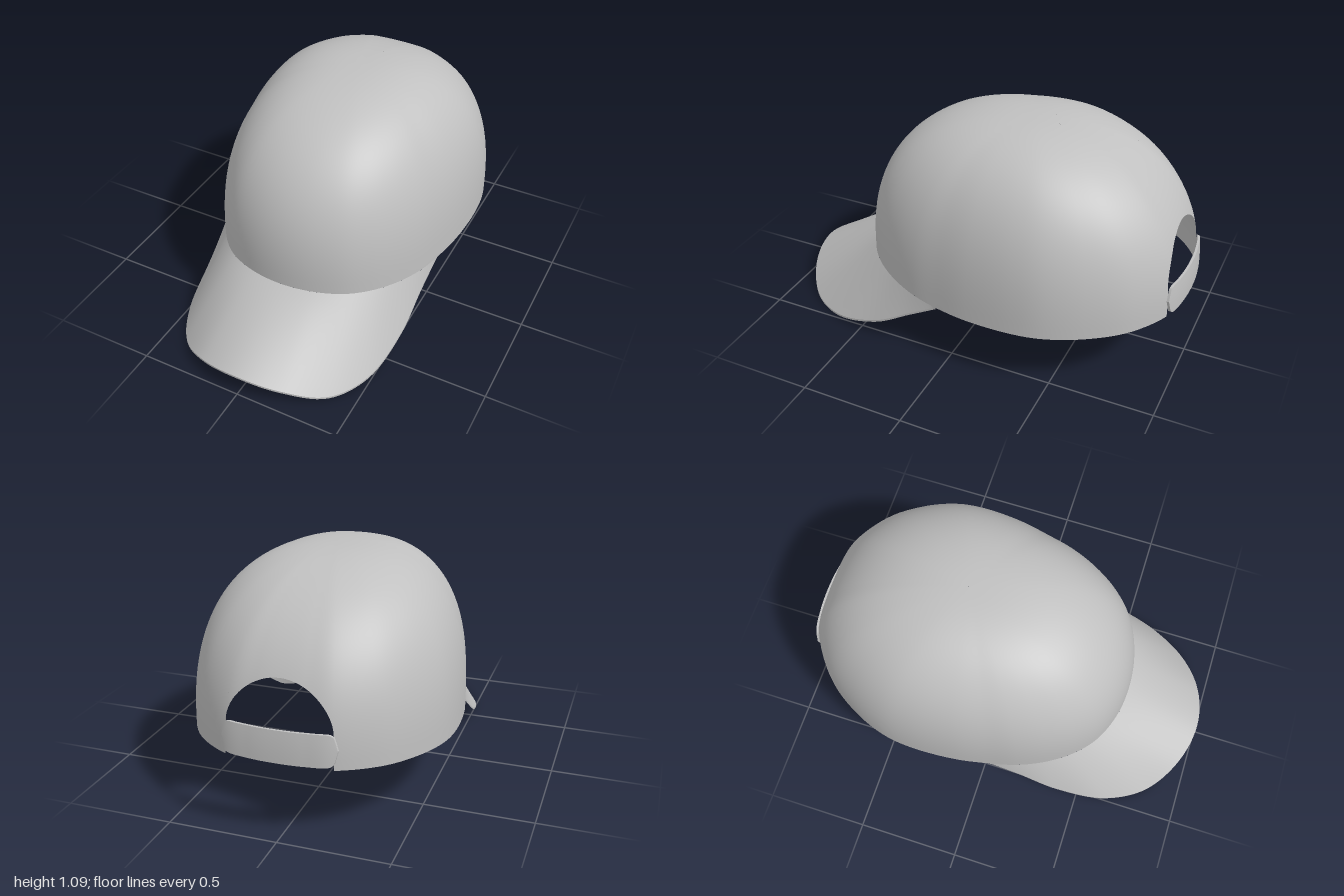
import * as THREE from 'three';
import { mergeGeometries } from 'three/addons/utils/BufferGeometryUtils.js';

const V = (x, y, z) => new THREE.Vector3(x, y, z);
const TOP = 1.095, CENTRE_Z = -0.2, SEGS = 28;
const HOLE = 2 / SEGS;          // curve parameter of the opening's side edge
const BRIM = 8 / SEGS;          // curve parameter where the brim starts

// Height of the lower rim: lowest beside the brim, rising to front and back
const rimY = z => z > 0.05
  ? 0.297 + 0.053 * ((z - 0.05) / 0.55) ** 1.3
  : 0.297 + 0.058 * ((0.05 - z) / 1.03) ** 1.3;

// Mirror a half path of points (first and last points lie on the centre line if closed)
const mirrored = pts => pts.slice(0, -1).reverse().map(p => V(-p.x, p.y, p.z));

// Plan outline of the crown, from the back round the +x side to the front
const half = [
  [0, -0.983], [0.12, -0.976], [0.24, -0.95], [0.41, -0.83], [0.52, -0.67],
  [0.585, -0.5], [0.603, -0.35], [0.59, -0.12], [0.557, 0.05], [0.525, 0.18],
  [0.47, 0.31], [0.39, 0.43], [0.29, 0.52], [0.15, 0.58], [0, 0.6],
].map(([x, z]) => V(x, 0, z));
const outline = new THREE.CatmullRomCurve3([...half, ...mirrored(half).slice(0, -1)], true);

// Rim point, direction from the centre and roundness exponent at parameter u
function column(u) {
  const p = outline.getPoint(u - Math.floor(u));
  const dx = p.x, dz = p.z - CENTRE_Z;
  const c = dz / Math.hypot(dx, dz);
  return { dx, dz, y: rimY(p.z), n: 2.65 - (c > 0 ? 0.15 : 0.4) * c * c };
}

// Crown surface: superelliptic meridians from the rim (phi 0) to the top (phi PI/2)
function crownPoint(u, phi) {
  const { dx, dz, y, n } = column(u);
  const r = Math.max(0, Math.cos(phi)) ** (2 / n);
  const h = Math.max(0, Math.sin(phi)) ** (2 / n);
  return V(dx * r, y + (TOP - y) * h, CENTRE_Z + dz * r);
}

function crownNormal(u, phi) {
  const p = THREE.MathUtils.clamp(phi, 0.02, Math.PI / 2 - 0.02), e = 0.002;
  const du = crownPoint(u + e, p).sub(crownPoint(u - e, p));
  const dv = crownPoint(u, p + e).sub(crownPoint(u, p - e));
  return dv.cross(du).normalize();
}

// Meridian angle at which the crown reaches a given height
function phiAt(u, height) {
  const { y, n } = column(u);
  return Math.asin(Math.max(0, (height - y) / (TOP - y)) ** (n / 2));
}

// Grid surface from a function of column and row indices; optional normals
function grid(cols, rows, point, normal) {
  const pos = [], nor = [], idx = [], w = rows + 1;
  for (let i = 0; i <= cols; i++) {
    for (let j = 0; j <= rows; j++) {
      pos.push(...point(i, j).toArray());
      if (normal) nor.push(...normal(i, j).toArray());
      if (i < cols && j < rows) {
        const a = i * w + j, b = a + w;
        idx.push(a, a + 1, b, b, a + 1, b + 1);
      }
    }
  }
  const g = new THREE.BufferGeometry();
  g.setAttribute('position', new THREE.Float32BufferAttribute(pos, 3));
  g.setIndex(idx);
  if (normal) g.setAttribute('normal', new THREE.Float32BufferAttribute(nor, 3));
  else g.computeVertexNormals();
  return g;
}

// Thin curved plate: outer sheet, inner sheet and the two long edges
function plate(cols, rows, f, offset) {
  const at = (i, v) => f(i / cols, v);
  const back = (i, v) => at(i, v).add(offset);
  return mergeGeometries([
    grid(cols, rows, (i, j) => at(i, j / rows)),
    grid(cols, rows, (i, j) => back(i, 1 - j / rows)),
    grid(cols, 1, (i, j) => (j ? at(i, 0) : back(i, 0))),
    grid(cols, 1, (i, j) => (j ? back(i, 1) : at(i, 1))),
  ]);
}

function crownGeometry() {
  const cols = [], rows = 40;
  // Columns above the arched back opening
  for (let k = 0; k <= 32; k++) {
    const a = (k / 32 - 0.5) * Math.PI, u = HOLE * Math.sin(a);
    cols.push([u, phiAt(u, 0.5 + 0.21 * Math.cos(a))]);
  }
  // Columns that reach down to the rim
  for (let k = 0; k <= 130; k++) cols.push([HOLE + (1 - 2 * HOLE) * k / 130, 0]);
  const phi = (i, j) => THREE.MathUtils.lerp(cols[i][1], Math.PI / 2, j / rows);
  return grid(cols.length - 1, rows,
    (i, j) => crownPoint(cols[i][0], phi(i, j)),
    (i, j) => crownNormal(cols[i][0], phi(i, j)));
}

function brimGeometry() {
  // Outer edge of the brim, from its +x end to the front tip
  const edge = [
    [0.555, 0.297, 0.05], [0.544, 0.207, 0.2], [0.535, 0.092, 0.4], [0.49, 0.019, 0.65],
    [0.38, 0.019, 0.84], [0.2, 0.086, 0.96], [0, 0.12, 1],
  ].map(p => V(...p));
  const outer = new THREE.CatmullRomCurve3([...edge, ...mirrored(edge)]);
  return plate(96, 12, (s, v) => {
    const inner = crownPoint(BRIM + (1 - 2 * BRIM) * s, 0);
    return outer.getPoint(s).lerp(inner, v);
  }, V(0, -0.01, 0));
}

function strapGeometry() {
  // Follows the crown across the opening, with rounded ends
  return plate(48, 6, (s, v) => {
    const t = Math.abs(2 * s - 1);
    const u = THREE.MathUtils.lerp(-HOLE * 1.06, HOLE * 1.04, s);
    const y = 0.442 + 0.071 * (2 * v - 1) * (1 - t ** 24) ** 0.5;
    const p = crownPoint(u, phiAt(u, y));
    p.z -= 0.015;
    return p;
  }, V(0, 0, 0.011));
}

export function createModel() {
  const fabric = new THREE.MeshStandardMaterial({ color: 0xc0c0c0, side: THREE.DoubleSide });
  fabric.name = 'grey fabric';
  const cap = new THREE.Group();
  cap.name = 'cap';
  const parts = { crown: crownGeometry(), brim: brimGeometry(), backStrap: strapGeometry() };
  for (const [name, geometry] of Object.entries(parts)) {
    const mesh = new THREE.Mesh(geometry, fabric);
    mesh.name = name;
    cap.add(mesh);
  }
  return cap;
}
